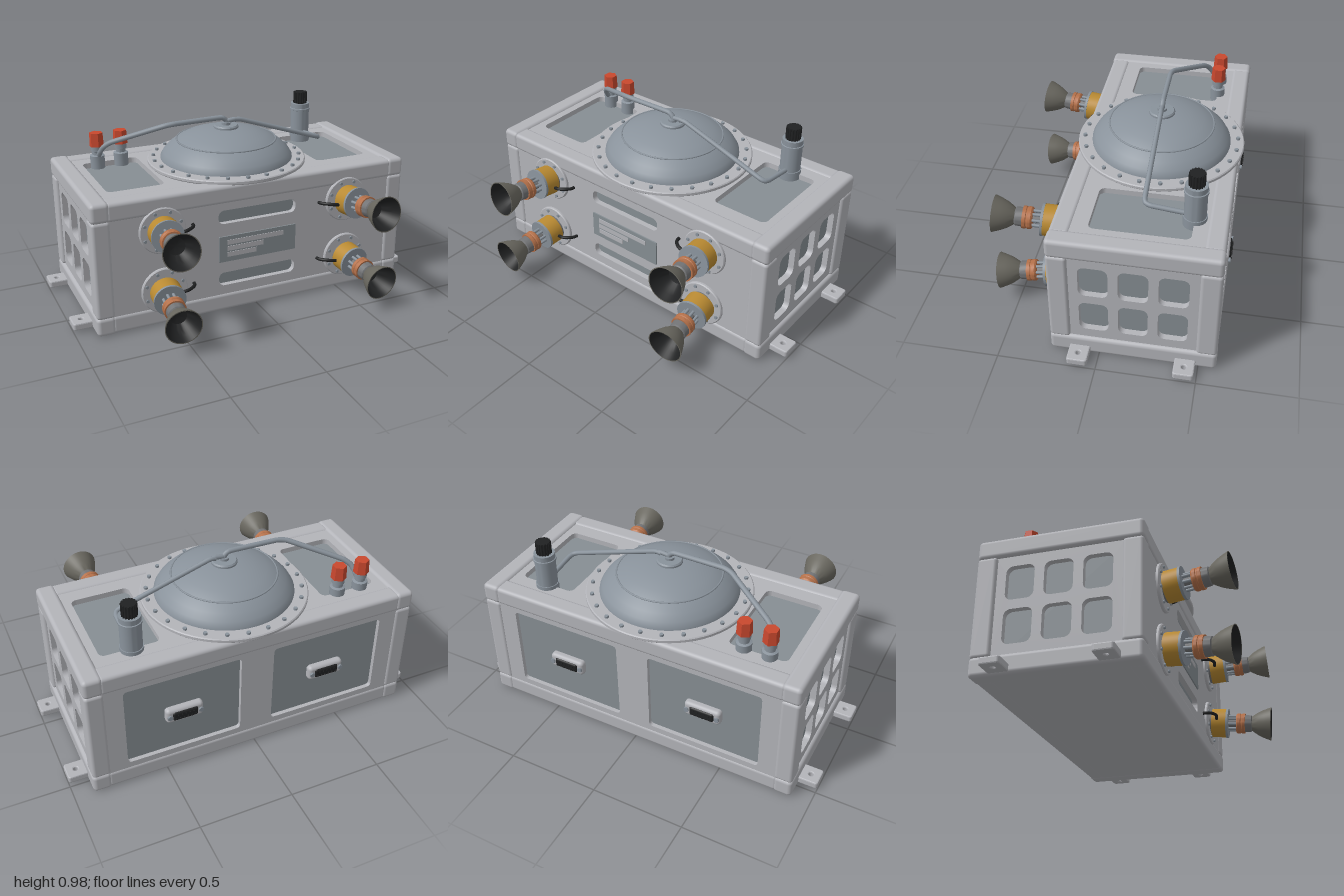
import * as THREE from 'three';
import { toCreasedNormals } from 'three/addons/utils/BufferGeometryUtils.js';
import { RoundedBoxGeometry } from 'three/addons/geometries/RoundedBoxGeometry.js';

const CZ = -0.17; // centre of the housing along z

export function createModel() {
  const model = new THREE.Group();
  model.name = 'thrusterModule';

  const mat = (name, color) => Object.assign(new THREE.MeshStandardMaterial({ color }), { name });
  const body = mat('lightGrey', 0xb3b4b9);
  const recess = mat('recessGrey', 0x868e93);
  const steel = mat('blueGreySteel', 0x89929b);
  const gunmetal = mat('gunmetal', 0x727375);
  const bellGrey = mat('bellGrey', 0x69675f);
  const gold = mat('gold', 0xb98a32);
  const copper = mat('copper', 0xb5714a);
  const red = mat('red', 0xc9482e);
  const black = mat('black', 0x202122);

  const add = (name, geo, material, x = 0, y = 0, z = 0, parent = model) => {
    const m = new THREE.Mesh(geo, material);
    m.name = name;
    m.position.set(x, y, z);
    parent.add(m);
    return m;
  };
  const box = (w, h, d, r) => new RoundedBoxGeometry(w, h, d, 3, r);
  const cyl = (r, h, n = 24) => new THREE.CylinderGeometry(r, r, h, n);
  const lathe = (pts, n = 40) =>
    toCreasedNormals(new THREE.LatheGeometry(pts.map(p => new THREE.Vector2(...p)), n), 0.6);
  // rounded rectangle from its corners
  const rect = (x0, y0, x1, y1, r, Type = THREE.Path) => {
    const s = new Type(), H = Math.PI / 2;
    s.absarc(x1 - r, y0 + r, r, -H, 0);
    s.absarc(x1 - r, y1 - r, r, 0, H);
    s.absarc(x0 + r, y1 - r, r, H, 2 * H);
    s.absarc(x0 + r, y0 + r, r, 2 * H, 3 * H);
    s.closePath();
    return s;
  };
  const plate = (outer, holes, depth) => {
    const s = rect(...outer, 0.004, THREE.Shape);
    s.holes.push(...holes);
    return new THREE.ExtrudeGeometry(s, { depth, bevelEnabled: false, curveSegments: 6 });
  };
  const tube = (pts, r, tension = 0.15) => new THREE.TubeGeometry(
    new THREE.CatmullRomCurve3(pts.map(p => new THREE.Vector3(...p)), false, 'catmullrom', tension), 64, r, 10);

  // Core, seen through the recesses
  add('innerCore', new THREE.BoxGeometry(1.7, 0.665, 0.77), recess, 0, 0.3475, -0.175);
  add('bottomPanel', new THREE.BoxGeometry(1.74, 0.012, 0.78), body, 0, 0.01, CZ);

  // Frame of rounded rails and posts
  for (const sx of [-1, 1]) {
    for (const y of [0.052, 0.67]) add('sideRail', box(0.1, 0.104, 0.84, 0.022), body, sx * 0.85, y, CZ);
    for (const z of [0.197, -0.537]) add('cornerPost', box(0.096, 0.53, 0.104, 0.018), body, sx * 0.85, 0.36, z);
  }
  for (const z of [0.197, -0.537])
    for (const y of [0.053, 0.667]) add('crossRail', box(1.64, 0.1, 0.1, 0.02), body, 0, y, z);

  // Panels with cut-out recesses
  const slots = [0.15, 0.505].map(y => rect(-0.225, y, 0.225, y + 0.075, 0.03));
  add('frontPanel', plate([-0.82, 0.08, 0.82, 0.65], slots, 0.03), body, 0, 0, 0.21);

  const bays = [-1, 1].map(s => rect(s * 0.4 - 0.31, 0.13, s * 0.4 + 0.31, 0.595, 0.02));
  add('backPanel', plate([-0.82, 0.08, 0.82, 0.65], bays, 0.022).rotateY(Math.PI), body, 0, 0, -0.56);

  const lids = [-1, 1].map(s => rect(s * 0.605 - 0.155, -0.07, s * 0.605 + 0.155, 0.42, 0.03));
  add('topPanel', plate([-0.82, -0.16, 0.82, 0.51], lids, 0.03).rotateX(-Math.PI / 2), body, 0, 0.68, 0);

  for (const s of [-1, 1]) {
    const holes = [];
    for (const c of [-0.195, 0, 0.195])
      for (const y of [0.155, 0.385]) holes.push(rect(c - 0.073, y, c + 0.073, y + 0.18, 0.035));
    add('sidePanel', plate([-0.34, 0.08, 0.34, 0.64], holes, 0.032).rotateY(s * Math.PI / 2), body, s * 0.85, 0, CZ);
  }

  // Data plate on the front
  add('dataPlate', plate([-0.225, 0.29, 0.225, 0.435], [], 0.008), recess, 0, 0, 0.239);
  [[0.15, 0.4], [0.03, 0.365], [-0.01, 0.331]].forEach(([x, y]) =>
    add('dataPlateBar', new THREE.BoxGeometry(x + 0.18, 0.026, 0.004), body, (x - 0.18) / 2, y, 0.248));

  // Mounting feet
  const hole = new THREE.Path();
  hole.absarc(0.06, 0, 0.014, 0, Math.PI * 2);
  for (const s of [-1, 1]) for (const z of [0.095, -0.435]) {
    const foot = rect(-0.04, -0.05, 0.11, 0.05, 0.012, THREE.Shape);
    foot.holes.push(hole);
    const g = new THREE.ExtrudeGeometry(foot,
      { depth: 0.024, bevelThickness: 0.007, bevelSize: 0.006, bevelOffset: -0.004, bevelSegments: 2 });
    g.rotateX(-Math.PI / 2);
    if (s < 0) g.rotateY(Math.PI);
    add('mountingFoot', g, body, s * 0.888, 0.018, z);
  }

  // Back connectors
  for (const s of [-1, 1]) {
    const c = new THREE.Group();
    c.name = 'connector';
    c.position.set(s * 0.4, 0.36, -0.56);
    model.add(c);
    add('connectorPlate', box(0.2, 0.085, 0.05, 0.02), body, 0, 0, -0.01, c);
    add('connectorSocket', box(0.135, 0.052, 0.03, 0.012), black, 0, 0, -0.028, c);
    for (const t of [-1, 1])
      add('connectorScrew', cyl(0.014, 0.012, 6).rotateX(Math.PI / 2), steel, t * 0.083, 0, -0.038, c);
    for (let i = 0; i < 11; i++)
      add('connectorPin', cyl(0.004, 0.008, 6).rotateX(Math.PI / 2), black,
        (i - 5) * 0.0105, i % 2 ? 0.01 : -0.01, -0.045, c);
  }

  // Domed tank cover with a bolted flange
  add('domeFlange', lathe([[0, 0.712], [0.435, 0.712], [0.44, 0.717], [0.44, 0.73], [0.435, 0.735], [0, 0.735]], 64), body, 0, 0, CZ);
  add('dome', lathe([[0.368, 0.73], [0.366, 0.745], [0.35, 0.772], [0.32, 0.802], [0.275, 0.836], [0.22, 0.862],
    [0.15, 0.884], [0.08, 0.895], [0, 0.898]], 64), steel, 0, 0, CZ);
  add('domeSeam', new THREE.TorusGeometry(0.275, 0.005, 6, 64).rotateX(Math.PI / 2), steel, 0, 0.836, CZ);
  add('domeCap', lathe([[0.068, 0.88], [0.068, 0.905], [0.062, 0.912], [0.025, 0.912], [0.025, 0.925], [0, 0.925]]), steel, 0, 0, CZ);
  for (let i = 0; i < 24; i++) {
    const a = (i + 0.5) / 24 * Math.PI * 2;
    add('flangeBolt', cyl(0.011, 0.014, 6), steel, Math.cos(a) * 0.407, 0.74, CZ + Math.sin(a) * 0.407);
  }

  // Pipes from the dome to the fittings
  add('leftPipe', tube([[0.05, 0.93, -0.172], [0.09, 0.93, -0.172], [0.56, 0.775, -0.172], [0.592, 0.763, -0.18],
    [0.602, 0.757, -0.21], [0.602, 0.735, -0.4]], 0.013), steel);
  add('leftPipeElbow', tube([[0, 0.9, CZ], [0.01, 0.93, CZ], [0.05, 0.935, CZ], [0.09, 0.93, -0.172]], 0.013), steel);
  add('rightPipe', tube([[0, 0.9, CZ], [0, 0.935, CZ], [-0.02, 0.952, CZ], [-0.05, 0.954, CZ], [-0.3, 0.95, CZ],
    [-0.36, 0.94, -0.185], [-0.61, 0.845, -0.325], [-0.65, 0.815, -0.352], [-0.665, 0.78, -0.375], [-0.67, 0.735, -0.41]], 0.014), steel);

  // Tall fitting with a ribbed knob
  const F = -0.42;
  add('fittingBody', lathe([[0.055, 0.68], [0.055, 0.87], [0.06, 0.872], [0.06, 0.882], [0.055, 0.884], [0.055, 0.912], [0, 0.912]]), steel, 0.6, 0, F);
  add('fittingCollar', cyl(0.06, 0.05), steel, 0.6, 0.705, F);
  add('knob', cyl(0.036, 0.07), black, 0.6, 0.945, F);
  for (let i = 0; i < 16; i++) {
    const a = i / 16 * Math.PI * 2;
    add('knobRib', cyl(0.005, 0.068, 6), black, 0.6 + Math.cos(a) * 0.036, 0.945, F + Math.sin(a) * 0.036);
  }

  // Two valves with red hexagonal caps
  for (const x of [-0.67, -0.535]) {
    add('valveBase', lathe([[0.04, 0.68], [0.04, 0.752], [0.027, 0.757], [0.027, 0.775], [0.033, 0.778], [0.033, 0.805], [0, 0.805]], 20), steel, x, 0, F);
    add('valveCap', toCreasedNormals(new THREE.CylinderGeometry(0.037, 0.041, 0.075, 6), 0.3), red, x, 0.843, F);
  }

  // Four thrusters, each tilted away from the middle
  const parts = [
    ['thrusterMount', gunmetal, [[0, 0], [0.075, 0], [0.075, 0.03], [0, 0.03]]],
    ['thrusterDrum', gold, [[0, 0.012], [0.082, 0.012], [0.082, 0.094], [0, 0.094]]],
    ['thrusterDisc', steel, [[0, 0.094], [0.085, 0.094], [0.085, 0.107], [0, 0.107]]],
    ['thrusterStem', gunmetal, [[0.022, 0.1], [0.022, 0.16]]],
    ['thrusterRing', copper, [[0, 0.152], [0.052, 0.152], [0.058, 0.16], [0.058, 0.175], [0.055, 0.178], [0.055, 0.183], [0.058, 0.186], [0.058, 0.203], [0, 0.206]]],
    ['thrusterThroat', gunmetal, [[0.05, 0.2], [0.048, 0.238], [0.04, 0.244], [0, 0.244]]],
    ['nozzleBell', bellGrey, [[0.038, 0.238], [0.05, 0.254], [0.068, 0.282], [0.082, 0.313], [0.096, 0.352], [0.091, 0.352]]],
    ['nozzleInside', black, [[0.092, 0.352], [0.077, 0.313], [0.062, 0.282], [0.044, 0.254], [0.02, 0.246], [0, 0.246]]],
  ].map(([n, m, p]) => [n, lathe(p).rotateX(Math.PI / 2), m]);
  const flange = lathe([[0, 0], [0.125, 0], [0.125, 0.012], [0.12, 0.017], [0, 0.017]]).rotateX(Math.PI / 2);
  const strut = cyl(0.008, 0.06, 10).rotateX(Math.PI / 2);
  const bolt = cyl(0.009, 0.012, 6).rotateX(Math.PI / 2);

  for (const sx of [-1, 1]) for (const sy of [-1, 1]) {
    const x = sx * 0.535, y = 0.365 + sy * 0.167;
    add('thrusterFlange', flange, body, x, y, 0.239);
    const t = new THREE.Group();
    t.name = 'thruster';
    t.position.set(x, y, 0.25);
    t.rotation.set(-sy * 0.085, sx * 0.085, 0);
    model.add(t);
    parts.forEach(([n, g, m]) => add(n, g, m, 0, 0, 0, t));
    for (let i = 0; i < 8; i++) {
      const a = (i + 0.5) * Math.PI / 4, c = Math.cos(a), s = Math.sin(a);
      add('thrusterStrut', strut, steel, c * 0.04, s * 0.04, 0.13, t);
      add('thrusterFlangeBolt', bolt, steel, x + c * 0.105, y + s * 0.105, 0.258);
    }
    // power lead into the front panel
    add('powerLead', tube([[sx * 0.46, y - 0.005, 0.3], [sx * 0.425, y + 0.003, 0.305], [sx * 0.395, y + 0.006, 0.29],
      [sx * 0.375, y + 0.004, 0.265], [sx * 0.368, y + 0.002, 0.235]], 0.009, 0.5), black);
  }
  return model;
}
